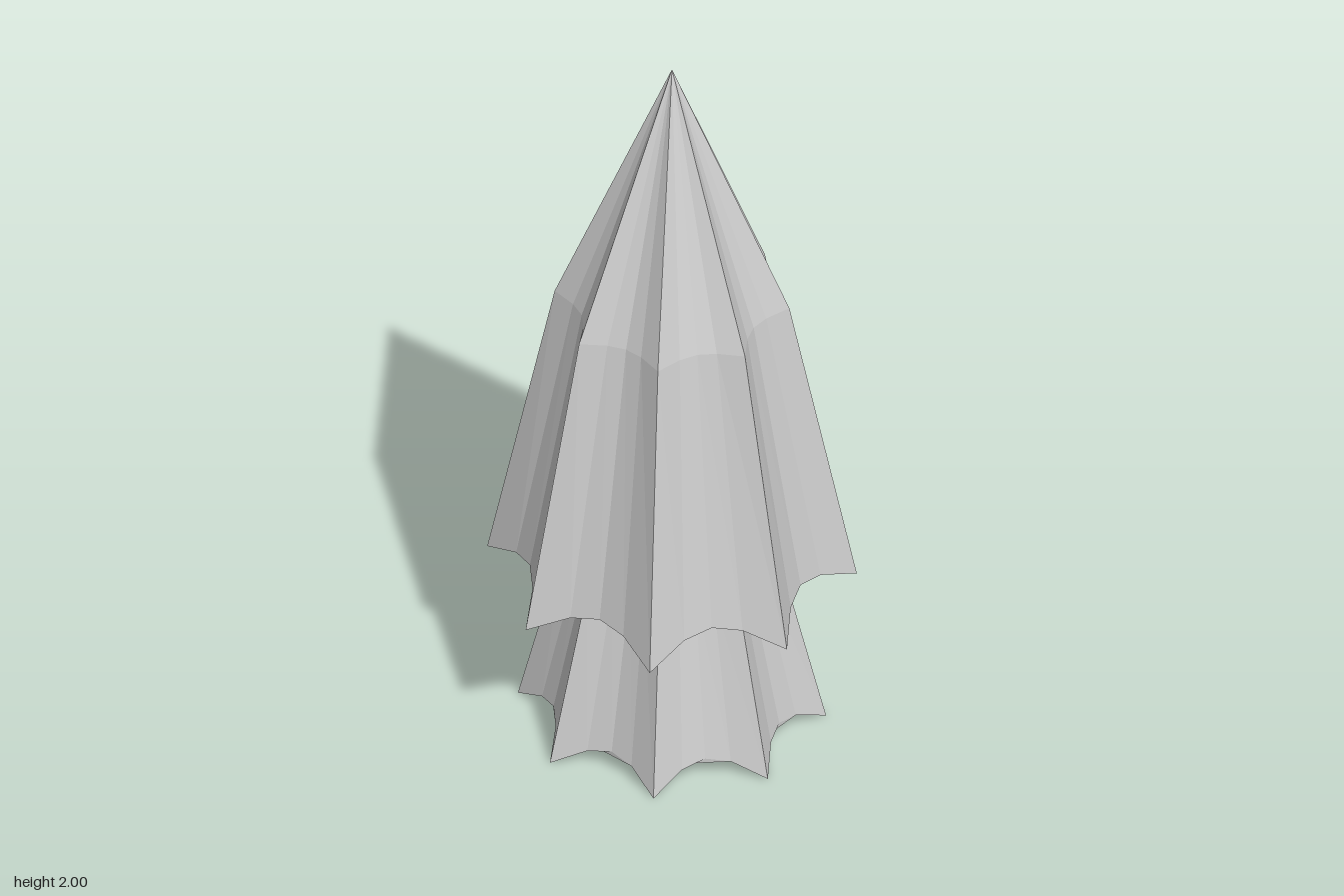
import * as THREE from 'three';

const RIBS = 8, STEPS = 4, N = RIBS * STEPS;
// Per-step shape of one scalloped panel: radius factor and rise (0 at rib tip, 1 mid-panel)
const FACTOR = [1, 0.84, 0.793, 0.84];
const RISE = [0, 0.77, 1, 0.77];
// Offset of each step from the rib, in degrees
const ANGLE = [0, 11.3, 22.5, 33.7];

// Fluted ring: radius at the ribs, height at the ribs, extra height mid-panel
function ring(radius, y, arch = 0) {
  const points = [];
  for (let i = 0; i < N; i++) {
    const s = i % STEPS;
    const a = THREE.MathUtils.degToRad(22.5 + 45 * Math.floor(i / STEPS) + ANGLE[s]);
    const r = radius * FACTOR[s];
    points.push(new THREE.Vector3(r * Math.sin(a), y + arch * RISE[s], r * Math.cos(a)));
  }
  return points;
}

// Skin a stack of rings listed from top to bottom; optionally close the last one
function skin(name, rings, closeBottom = false) {
  const positions = [];
  const tri = (...corners) => corners.forEach((p) => positions.push(p.x, p.y, p.z));
  for (let k = 0; k < rings.length - 1; k++) {
    const up = rings[k], low = rings[k + 1];
    for (let i = 0; i < N; i++) {
      const j = (i + 1) % N;
      tri(up[i], low[i], low[j]);
      if (up[i].distanceTo(up[j]) > 1e-6) tri(up[i], low[j], up[j]);
    }
  }
  if (closeBottom) {
    const rim = rings[rings.length - 1];
    const flat = rim.map((p) => new THREE.Vector2(p.x, p.z));
    for (const [a, b, c] of THREE.ShapeUtils.triangulateShape(flat, [])) {
      // Keep every cap face looking down
      const ab = flat[b].clone().sub(flat[a]), ac = flat[c].clone().sub(flat[a]);
      if (ab.cross(ac) > 0) tri(rim[a], rim[b], rim[c]);
      else tri(rim[a], rim[c], rim[b]);
    }
  }
  const geometry = new THREE.BufferGeometry();
  geometry.setAttribute('position', new THREE.Float32BufferAttribute(positions, 3));
  geometry.computeVertexNormals();
  const mesh = new THREE.Mesh(
    geometry,
    new THREE.MeshStandardMaterial({ color: 0xcccccc, flatShading: true })
  );
  mesh.name = name;
  return mesh;
}

export function createModel() {
  const model = new THREE.Group();
  model.name = 'flutedTree';
  const neck = ring(0.27, 0.48, 0.025);

  // Tall pointed tier, with its underside folding in to the neck
  model.add(skin('upperTier', [
    ring(0, 2), ring(0.294, 1.275), ring(0.463, 0.455, 0.06), neck,
  ]));

  // Short flared tier with a closed, scalloped base
  model.add(skin('lowerTier', [neck, ring(0.386, 0, 0.057)], true));

  return model;
}
